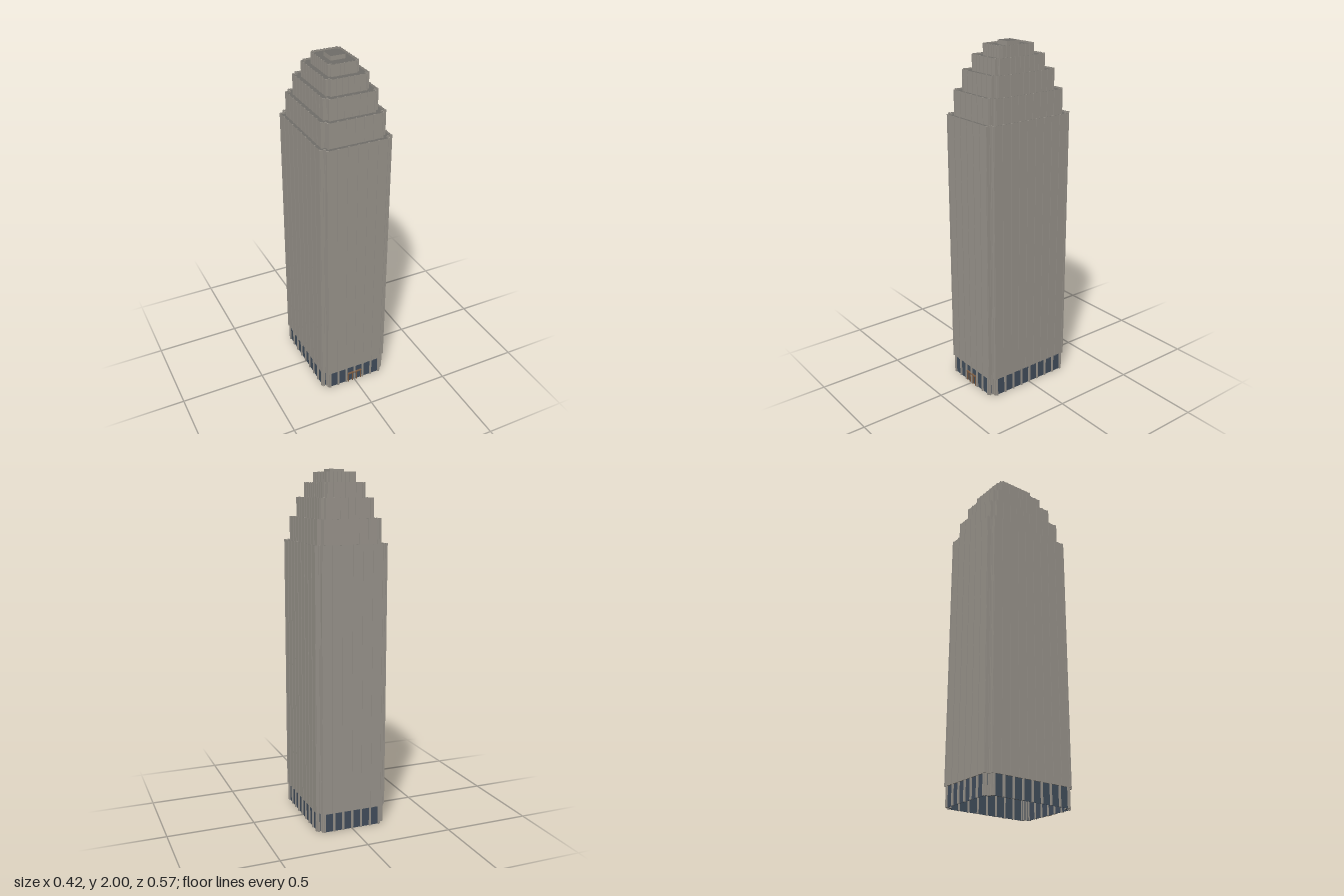
import * as THREE from 'three';
import { mergeGeometries } from 'three/addons/utils/BufferGeometryUtils.js';

const material = (name, color) => {
  const m = new THREE.MeshStandardMaterial({ color });
  m.name = name;
  return m;
};

// Rectangle plan with a square notch cut from every corner, counter-clockwise
function notchedPlan(hx, hz, nx, nz) {
  return [
    [-hx + nx, -hz], [hx - nx, -hz], [hx - nx, -hz + nz], [hx, -hz + nz],
    [hx, hz - nz], [hx - nx, hz - nz], [hx - nx, hz], [-hx + nx, hz],
    [-hx + nx, hz - nz], [-hx, hz - nz], [-hx, -hz + nz], [-hx + nx, -hz + nz],
  ].map(([x, z]) => new THREE.Vector2(x, z));
}

// Hollow wall following the plan, standing from y0 to y1
function wallRing(outer, inner, y0, y1) {
  const shape = new THREE.Shape(outer);
  shape.holes.push(new THREE.Path(inner));
  const g = new THREE.ExtrudeGeometry(shape, { depth: y1 - y0, bevelEnabled: false });
  return g.rotateX(-Math.PI / 2).translate(0, y0, 0);
}

// Vertical piers spaced along every edge of the plan
function piers(plan, spacing, width, depth, y0, y1) {
  const parts = [];
  plan.forEach((a, k) => {
    const b = plan[(k + 1) % plan.length];
    const length = a.distanceTo(b);
    const n = Math.max(1, Math.round(length / spacing));
    const angle = Math.atan2(b.y - a.y, b.x - a.x);
    for (let i = 0; i <= n; i++) {
      const t = (width / 2 + (i / n) * (length - width)) / length;
      const p = a.clone().lerp(b, t);
      parts.push(new THREE.BoxGeometry(width, y1 - y0, depth * 2)
        .rotateY(-angle).translate(p.x, (y0 + y1) / 2, p.y));
    }
  });
  return mergeGeometries(parts);
}

export function createModel() {
  const stone = material('stone', 0x98938b);
  const roof = material('roof', 0x6e6c67);
  const glass = material('lobbyGlass', 0x414d5b);
  glass.side = THREE.DoubleSide;
  const bronze = material('bronze', 0x7a5a40);

  const model = new THREE.Group();
  model.name = 'tower';
  const add = (name, geometry, mat, parent = model) => {
    const mesh = new THREE.Mesh(geometry, mat);
    mesh.name = name;
    parent.add(mesh);
    return mesh;
  };
  const rib = 0.003;

  // Stepped tiers: bottom, top, half width, half depth, corner notches, pier spacing
  const tiers = [
    [0.11, 1.605, 0.21, 0.287, 0.028, 0.028, 0.058],
    [1.59, 1.738, 0.186, 0.253, 0.025, 0.025, 0.05],
    [1.72, 1.847, 0.157, 0.214, 0.023, 0.022, 0.043],
    [1.83, 1.928, 0.124, 0.169, 0.019, 0.018, 0.034],
    [1.91, 1.984, 0.087, 0.118, 0.013, 0.012, 0.025],
  ];
  tiers.forEach(([y0, y1, hx, hz, nx, nz, spacing], i) => {
    const tier = new THREE.Group();
    tier.name = `tier${i + 1}`;
    model.add(tier);
    const outer = notchedPlan(hx - rib, hz - rib, nx, nz);
    const inner = notchedPlan(hx - rib - 0.004, hz - rib - 0.004, nx, nz);
    add('wall', wallRing(outer, inner, y0, y1), [roof, stone], tier);
    add('piers', piers(outer, spacing, spacing * 0.16, rib, y0, y1 + 0.001), stone, tier);
    // Roof deck just below the parapet
    const deck = new THREE.ShapeGeometry(new THREE.Shape(inner));
    add('roofDeck', deck.rotateX(-Math.PI / 2).translate(0, y1 - 0.008, 0), roof, tier);
  });

  // Roof box at the very top
  add('roofBox', new THREE.BoxGeometry(0.084, 0.026, 0.084).translate(0, 1.987, 0),
    [stone, stone, roof, roof, stone, stone]);

  // Ceiling of the open lobby
  const ceiling = new THREE.ShapeGeometry(new THREE.Shape(notchedPlan(0.206, 0.283, 0.028, 0.028)));
  add('lobbyCeiling', ceiling.rotateX(Math.PI / 2).translate(0, 0.111, 0), roof);

  // Glazed lobby, open underneath, with stone columns
  const lobby = notchedPlan(0.198, 0.275, 0.028, 0.028);
  add('lobbyGlazing', wallRing(lobby, notchedPlan(0.194, 0.271, 0.028, 0.028), 0, 0.111), glass);
  add('lobbyColumns', piers(lobby, 0.06, 0.01, 0.008, 0, 0.111), stone);

  // Front entrance: bronze frame with door mullions
  const entrance = new THREE.Group();
  entrance.name = 'entrance';
  model.add(entrance);
  for (const x of [-0.042, -0.014, 0.014, 0.042]) {
    add('doorPost', new THREE.BoxGeometry(0.004, 0.06, 0.009).translate(x, 0.03, 0.279), bronze, entrance);
  }
  add('doorHead', new THREE.BoxGeometry(0.09, 0.005, 0.012).translate(0, 0.0615, 0.28), bronze, entrance);

  return model;
}
